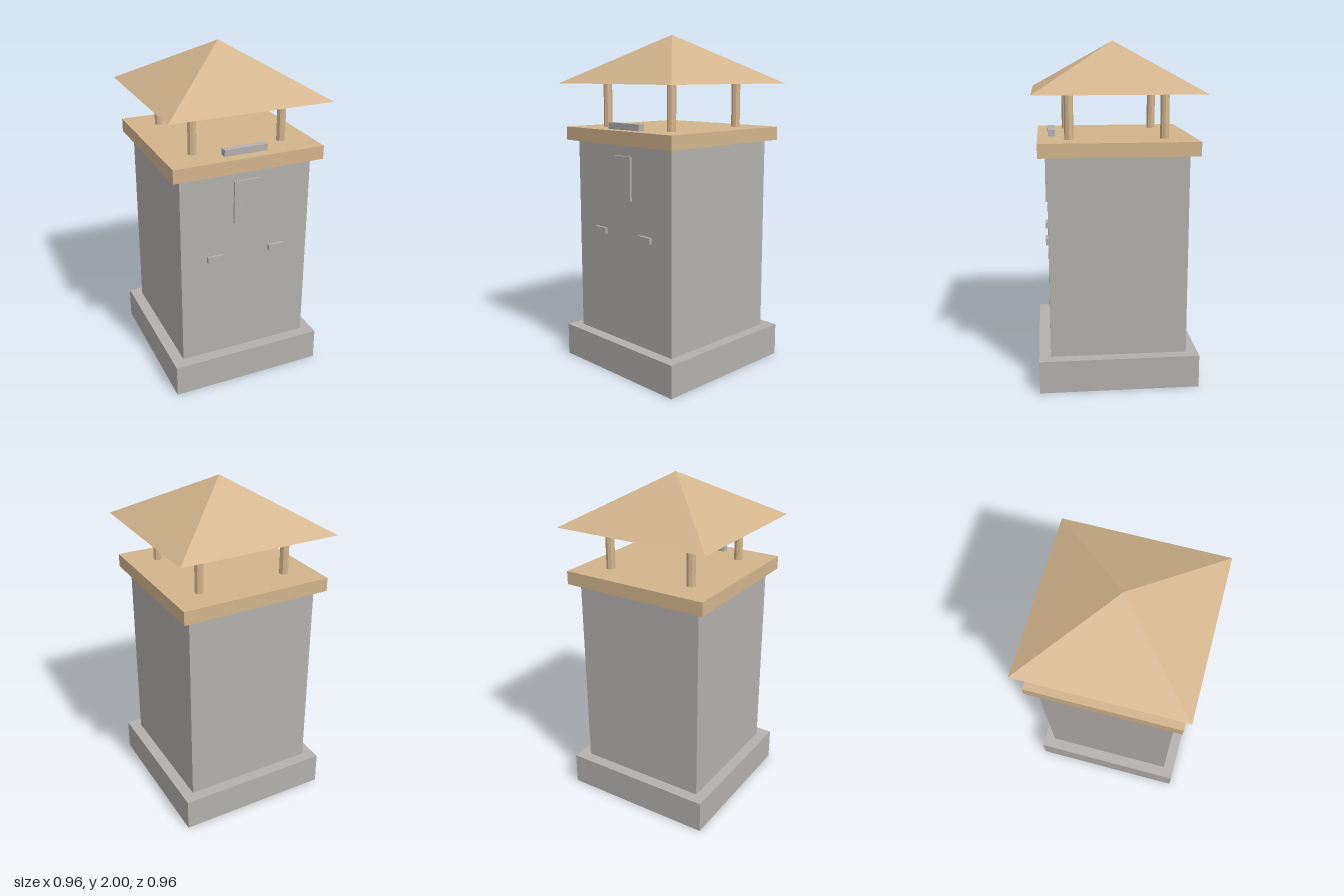
import * as THREE from 'three';

export function createModel() {
  const model = new THREE.Group();
  model.name = 'watchtower';

  const stone = new THREE.MeshStandardMaterial({ color: 0xb3b0ad });
  stone.name = 'grey stone';
  const wood = new THREE.MeshStandardMaterial({ color: 0xd2b48c, flatShading: true });
  wood.name = 'tan wood';

  const add = (name, geometry, material, x, y, z) => {
    const mesh = new THREE.Mesh(geometry, material);
    mesh.name = name;
    mesh.position.set(x, y, z);
    model.add(mesh);
    return mesh;
  };
  // Box given by its width, depth, bottom and top
  const block = (name, material, w, d, y0, y1, x = 0, z = 0) =>
    add(name, new THREE.BoxGeometry(w, y1 - y0, d), material, x, (y0 + y1) / 2, z);

  // Masonry
  block('base', stone, 0.936, 0.936, 0, 0.195);
  block('towerBody', stone, 0.8, 0.8, 0.195, 1.375);

  // Lookout deck
  block('deck', wood, 0.906, 0.906, 1.375, 1.455);
  block('deckParapet', stone, 0.26, 0.04, 1.455, 1.493, 0, 0.37);

  // Raised details on the front wall
  block('frontPanel', stone, 0.156, 0.012, 1.052, 1.308, 0, 0.406);
  for (const side of [-1, 1]) {
    block(side > 0 ? 'leftLedge' : 'rightLedge', stone, 0.096, 0.016, 0.828, 0.865, side * 0.193, 0.408);
  }

  // Roof posts
  const postGeometry = new THREE.CylinderGeometry(0.026, 0.026, 0.26, 8);
  for (const x of [-0.273, 0.273]) {
    for (const z of [-0.273, 0.273]) add('roofPost', postGeometry, wood, x, 1.585, z);
  }

  // Four-sided pyramid roof, closed underneath
  const roofGeometry = new THREE.ConeGeometry(0.481 * Math.SQRT2, 0.285, 4);
  roofGeometry.rotateY(Math.PI / 4);
  add('roof', roofGeometry, wood, 0, 1.8575, 0);

  return model;
}
